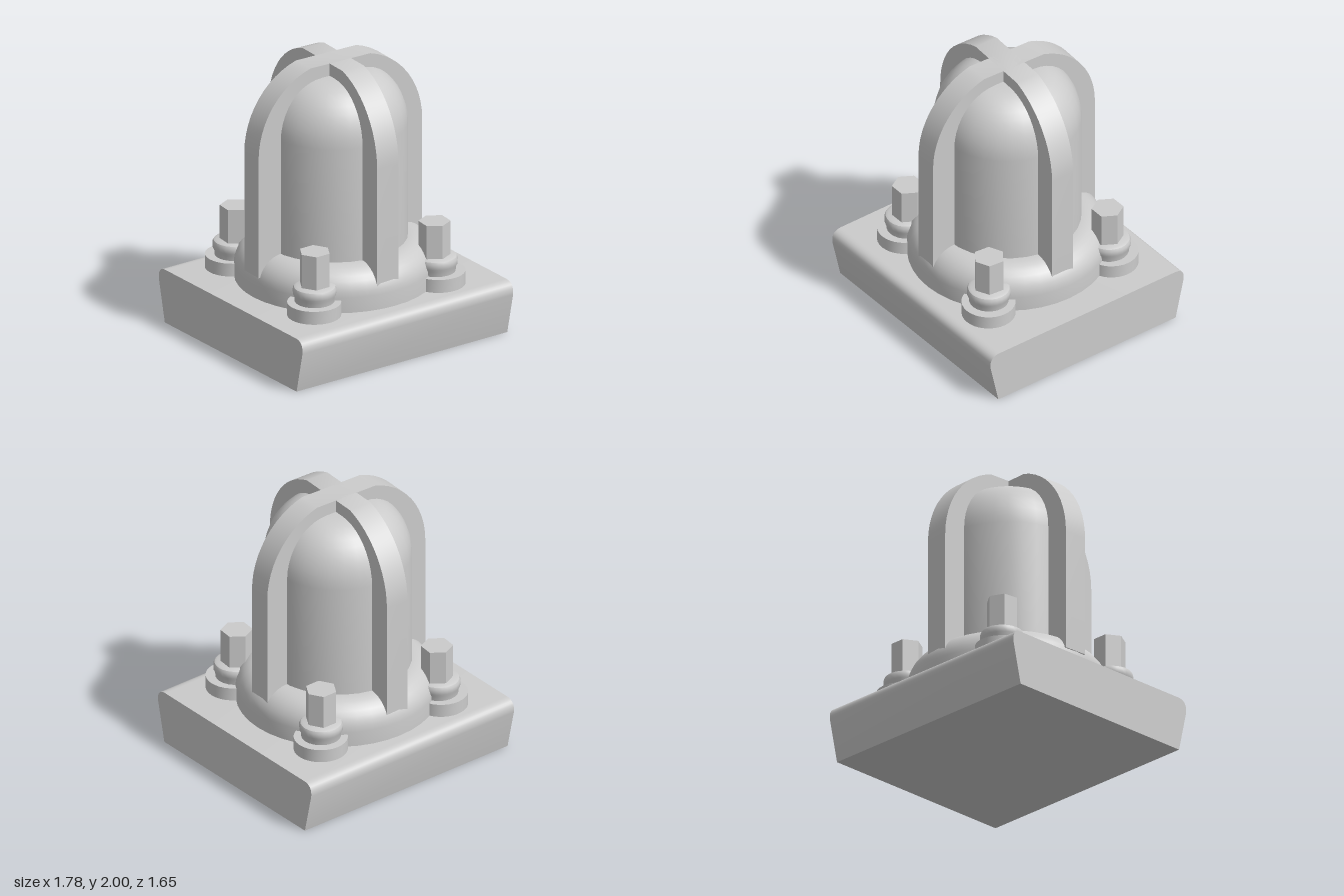
import * as THREE from 'three';
import { toCreasedNormals } from 'three/addons/utils/BufferGeometryUtils.js';

const material = new THREE.MeshStandardMaterial({ color: 0xcccccc });

function part(name, geometry, x = 0, y = 0, z = 0) {
  const mesh = new THREE.Mesh(toCreasedNormals(geometry, 0.6), material);
  mesh.name = name;
  mesh.position.set(x, y, z);
  return mesh;
}

// Points on a quarter-ellipse, from its side (a = 0) towards its top
function arc(cx, cy, rx, ry, steps, end = Math.PI / 2) {
  return Array.from({ length: steps + 1 }, (_, i) => {
    const a = (end * i) / steps;
    return new THREE.Vector2(cx + rx * Math.cos(a), cy + ry * Math.sin(a));
  });
}

const lathe = (points, segments) =>
  new THREE.LatheGeometry(points.map((p) => (p.isVector2 ? p : new THREE.Vector2(...p))), segments);

// Plinth: tapered section with rounded upper edges, run along x
function plinth() {
  const s = new THREE.Shape();
  s.moveTo(-0.76, 0);
  s.lineTo(0.757, 0);
  s.lineTo(0.825, 0.3);
  s.quadraticCurveTo(0.835, 0.39, 0.75, 0.39);
  s.lineTo(-0.75, 0.39);
  s.quadraticCurveTo(-0.835, 0.39, -0.828, 0.3);
  const g = new THREE.ExtrudeGeometry(s, { depth: 1.78, bevelEnabled: false, curveSegments: 8 });
  g.translate(0, 0, -0.89).rotateY(Math.PI / 2);
  return part('plinth', g);
}

// Cage rib: an arch whose inner edge is buried in the dome
function rib() {
  const outer = arc(0.1, 1.42, 0.57, 0.6, 12, Math.asin(0.58 / 0.6));
  const inner = arc(0.16, 1.5, 0.32, 0.38, 8);
  const half = [new THREE.Vector2(0.67, 0.55), ...outer];
  const innerHalf = [new THREE.Vector2(0.48, 0.55), ...inner];
  const flip = (pts) => pts.map((p) => new THREE.Vector2(-p.x, p.y));
  const outline = [
    ...half, ...flip(half).reverse(),
    ...flip(innerHalf), ...innerHalf.slice().reverse(),
  ];
  const g = new THREE.ExtrudeGeometry(new THREE.Shape(outline), { depth: 0.175, bevelEnabled: false });
  return g.translate(0, 0, -0.0875);
}

// Bolt: washer, flared collar and tall hexagonal head
function bolt(x, z, turn) {
  const g = new THREE.Group();
  g.name = 'bolt';
  g.position.set(x, 0, z);
  const dx = -0.012 * Math.sign(x), dz = -0.012 * Math.sign(z);
  g.add(part('washer', new THREE.CylinderGeometry(0.185, 0.185, 0.12, 32), 0, 0.425, 0));
  g.add(part('collar', lathe([
    [0.134, 0.45], [0.138, 0.52], [0.149, 0.54], [0.15, 0.575], [0.142, 0.592], [0.125, 0.6], [0, 0.6],
  ], 24), dx, 0, dz));
  const head = part('hexHead', new THREE.CylinderGeometry(0.11, 0.11, 0.3, 6), dx * 1.6, 0.695, dz * 1.6);
  head.rotation.y = turn;
  g.add(head);
  return g;
}

export function createModel() {
  const model = new THREE.Group();
  model.name = 'cagedLamp';
  model.add(plinth());

  // Rounded ring around the foot of the dome
  model.add(part('baseRing', lathe([[0.69, 0.38], ...arc(0.5, 0.5, 0.19, 0.19, 8), [0.45, 0.69]], 40), -0.003, 0, -0.003));

  // Dome
  model.add(part('dome', lathe([[0.505, 0.4], ...arc(0.18, 1.52, 0.325, 0.39, 10), [0, 1.912]], 32), -0.013, 0, -0.005));

  // Two crossing arches, turned slightly about the vertical axis
  const cage = new THREE.Group();
  cage.name = 'cage';
  cage.position.set(-0.02, 0, -0.003);
  cage.rotation.y = -0.045;
  for (let i = 0; i < 2; i++) {
    const arch = part('cageRib', rib());
    arch.rotation.y = (i * Math.PI) / 2;
    cage.add(arch);
  }
  model.add(cage);

  // Four bolts
  for (const [x, z, turn] of [
    [0.477, 0.53, -0.1], [0.528, -0.483, Math.PI / 2],
    [-0.486, -0.535, -0.1], [-0.538, 0.483, Math.PI / 2],
  ]) model.add(bolt(x, z, turn));

  return model;
}
